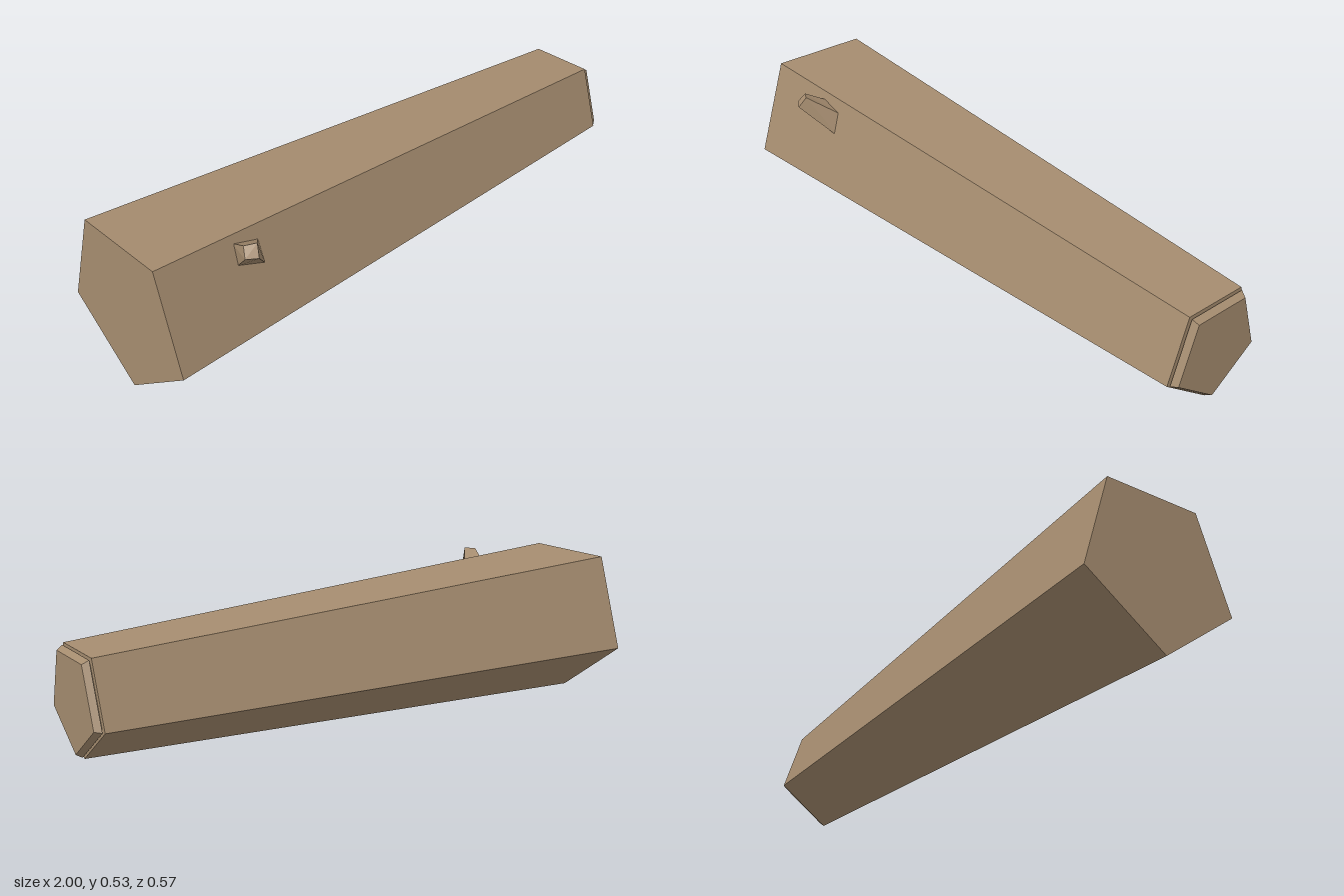
import * as THREE from 'three';

// Skin a list of equal-length rings (counterclockwise seen from the last ring) and close both ends
function loft(rings) {
  const pos = [];
  const n = rings[0].length;
  const tri = (...pts) => pts.forEach((p) => pos.push(...p));
  for (let r = 0; r + 1 < rings.length; r++) {
    const a = rings[r], b = rings[r + 1];
    for (let i = 0; i < n; i++) {
      const j = (i + 1) % n;
      tri(a[i], a[j], b[j]);
      tri(a[i], b[j], b[i]);
    }
  }
  const first = rings[0], last = rings[rings.length - 1];
  for (let i = 1; i + 1 < n; i++) {
    tri(first[0], first[i + 1], first[i]);
    tri(last[0], last[i], last[i + 1]);
  }
  const geometry = new THREE.BufferGeometry();
  geometry.setAttribute('position', new THREE.Float32BufferAttribute(pos, 3));
  geometry.computeVertexNormals();
  return geometry;
}

// Pentagon with its point down, square to the slightly slanted trunk axis
function pentagon(x, cy, cz, radius) {
  return Array.from({ length: 5 }, (_, i) => {
    const t = -Math.PI / 2 + (i * 2 * Math.PI) / 5;
    const dy = radius * Math.sin(t), dz = -radius * Math.cos(t);
    return [x - 0.03 * dz + 0.012 * dy, cy + dy, cz + dz];
  });
}

export function createModel() {
  const model = new THREE.Group();
  model.name = 'log';
  const wood = new THREE.MeshStandardMaterial({ color: 0xa58c6f });
  wood.name = 'wood';
  wood.flatShading = true;

  const add = (name, rings) => {
    const mesh = new THREE.Mesh(loft(rings), wood);
    mesh.name = name;
    model.add(mesh);
  };

  // Tapered five-sided trunk
  add('trunk', [
    pentagon(-0.992, 0.293, -0.007, 0.291),
    pentagon(0.97, 0.267, 0.053, 0.19),
  ]);

  // Bevelled cut end, set off from the trunk by a thin groove
  add('cutEnd', [
    pentagon(0.96, 0.266, 0.053, 0.168),
    pentagon(0.976, 0.266, 0.053, 0.168),
    pentagon(0.976, 0.266, 0.053, 0.184),
    pentagon(0.997, 0.265, 0.054, 0.17),
  ]);

  // Short branch stub, its root sunk into the trunk
  const tip = [[-0.75, 0.495, 0.265], [-0.715, 0.492, 0.286], [-0.7, 0.527, 0.262], [-0.735, 0.524, 0.242]];
  const root = [[-0.72, 0.42, 0.192], [-0.63, 0.39, 0.203], [-0.63, 0.463, 0.178], [-0.715, 0.485, 0.172]];
  const sunk = root.map((p, i) => p.map((v, k) => v + 0.15 * (v - tip[i][k])));
  add('branchStub', [sunk, tip]);

  return model;
}
